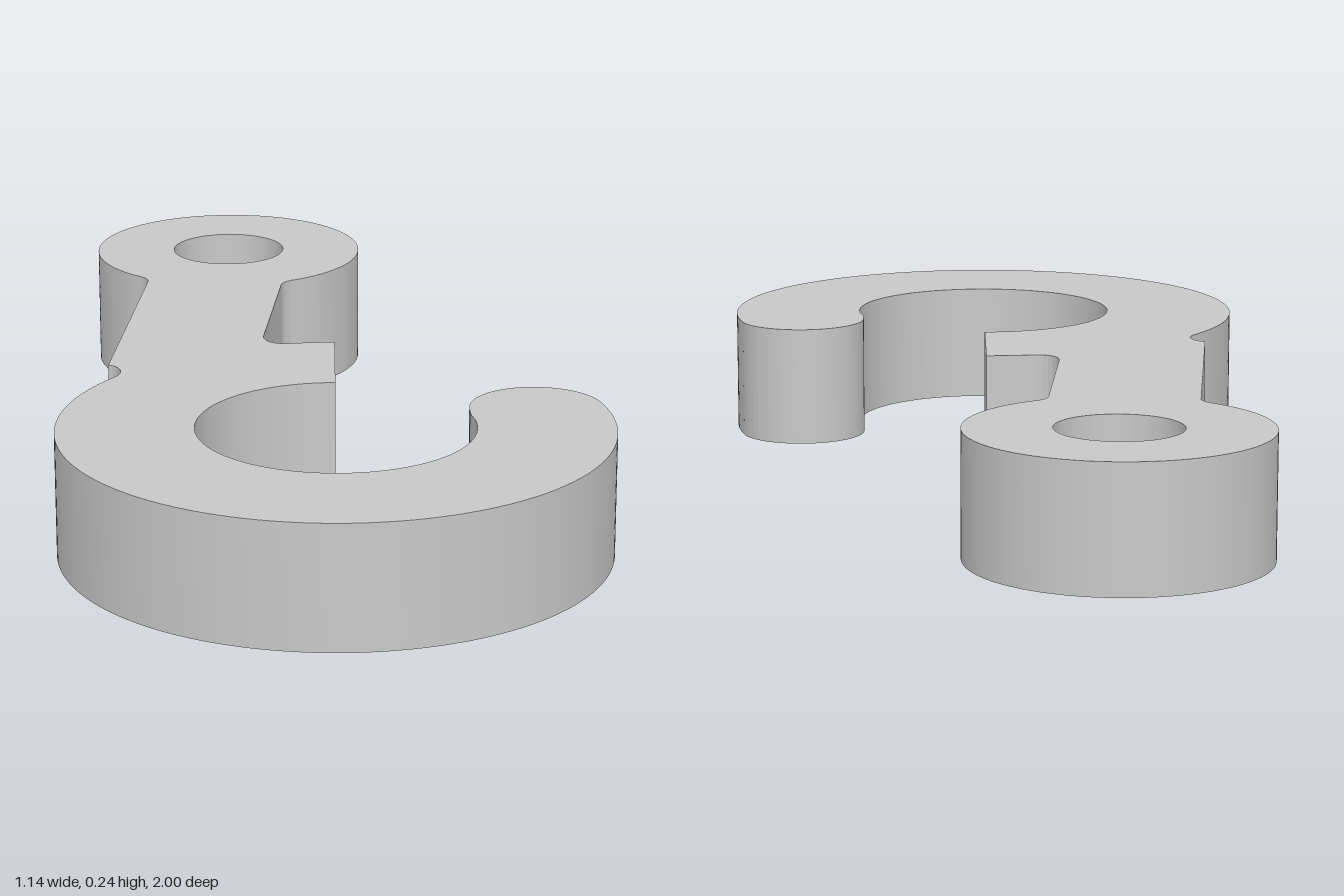
import * as THREE from 'three';
import { toCreasedNormals } from 'three/addons/utils/BufferGeometryUtils.js';

const THICKNESS = 0.24;

// Adds a circular arc that runs between the directions of two points.
function arc(path, [cx, cy], r, [ax, ay], [bx, by], clockwise) {
  path.absarc(cx, cy, r, Math.atan2(ay - cy, ax - cx), Math.atan2(by - cy, bx - cx), clockwise);
}

export function createModel() {
  const group = new THREE.Group();
  group.name = 'hook';

  const grey = new THREE.MeshStandardMaterial({ color: 0xc8c8c8 });
  grey.name = 'grey';

  // Centres of the round parts; the tip circle touches the bowl's outside at tipEnd
  const eye = [-0.287, 0.716];
  const bowl = [0.0465, -0.477];
  const tip = [0.4162, -0.338];
  const tipEnd = [0.536, -0.293];
  const s = new THREE.Shape();

  // Eye, with small fillets into the shank
  s.moveTo(-0.429, 0.447);
  s.quadraticCurveTo(-0.429, 0.466, -0.447, 0.481);
  arc(s, eye, 0.284, [-0.447, 0.481], [-0.127, 0.481], true);
  s.quadraticCurveTo(-0.145, 0.466, -0.145, 0.447);

  // Shank and latch spur
  s.lineTo(-0.145, 0.08);
  s.bezierCurveTo(-0.145, 0.045, -0.122, 0.026, -0.092, 0.031);
  s.quadraticCurveTo(-0.047, 0.043, 0.001, 0.048);
  s.lineTo(0.024, -0.215);

  // Inside of the bowl, rounded tip, outside of the bowl
  arc(s, bowl, 0.263, [0.024, -0.215], [0.302, -0.415], false);
  s.quadraticCurveTo(0.291, -0.385, 0.29, -0.36);
  arc(s, tip, 0.128, [0.29, -0.36], tipEnd, true);
  arc(s, bowl, 0.523, tipEnd, [-0.405, -0.209], true);

  // Notch where the bowl meets the shank
  s.bezierCurveTo(-0.393, -0.185, -0.4, -0.15, -0.429, -0.14);
  s.closePath();

  // Hole in the eye, wound against the clockwise outline
  const hole = new THREE.Path();
  hole.absarc(eye[0], eye[1], 0.119, 0, Math.PI * 2, false);
  s.holes.push(hole);

  const geometry = new THREE.ExtrudeGeometry(s, {
    depth: THICKNESS, bevelEnabled: false, curveSegments: 64,
  });
  geometry.rotateX(-Math.PI / 2);

  const body = new THREE.Mesh(toCreasedNormals(geometry, 0.5), grey);
  body.name = 'hookBody';
  group.add(body);
  return group;
}
